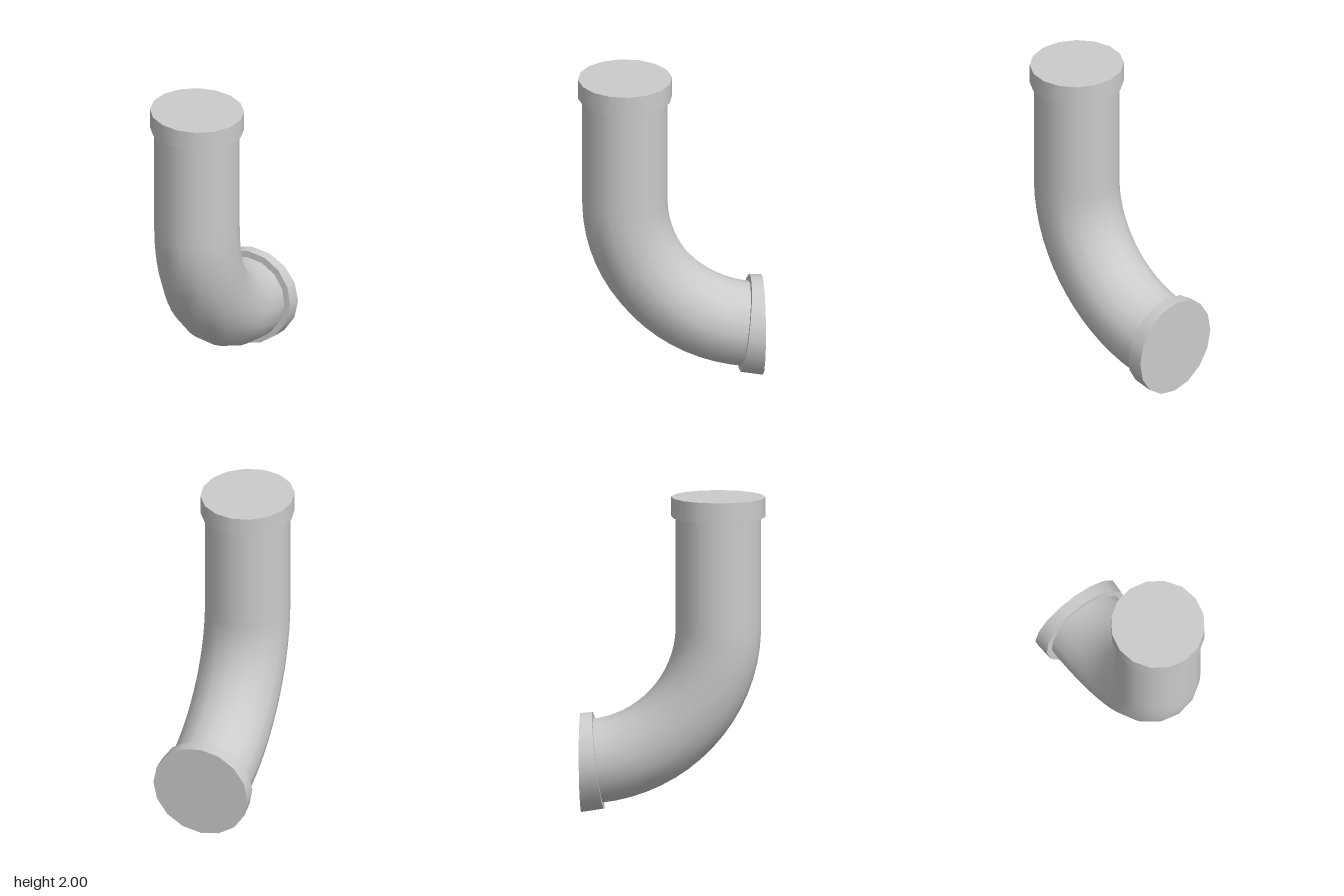
import * as THREE from 'three';

const SIDES = 16;
const material = new THREE.MeshStandardMaterial({ color: 0xcccccc });

// Capped ring along +y whose two end planes can each be tilted and shifted.
// An end is { r, y, tiltX, tiltZ, shiftZ }.
function collar(name, lower, upper) {
  const geometry = new THREE.CylinderGeometry(upper.r, lower.r, 1, SIDES);
  const p = geometry.attributes.position;
  for (let i = 0; i < p.count; i++) {
    const end = p.getY(i) > 0 ? upper : lower;
    const x = p.getX(i), z = p.getZ(i);
    p.setXYZ(i, x, end.y + end.tiltX * x + end.tiltZ * z, z + end.shiftZ);
  }
  const mesh = new THREE.Mesh(geometry, material);
  mesh.name = name;
  return mesh;
}

export function createModel() {
  const model = new THREE.Group();
  model.name = 'pipeElbow';

  // Pipe centreline: straight drop, then a bend of 82 degrees towards the back
  const bendRadius = 0.86, bendAngle = THREE.MathUtils.degToRad(82);
  const bendY = 1.18, bendZ = -0.577, startY = 1.93;
  const straight = startY - bendY;
  const total = straight + bendRadius * bendAngle + 0.03;
  class Centreline extends THREE.Curve {
    getPoint(t, target = new THREE.Vector3()) {
      const s = t * total;
      if (s < straight) return target.set(0, startY - s, bendZ + bendRadius);
      const a = (s - straight) / bendRadius;
      return target.set(0, bendY - bendRadius * Math.sin(a), bendZ + bendRadius * Math.cos(a));
    }
  }
  const pipe = new THREE.Mesh(
    new THREE.TubeGeometry(new Centreline(), 26, 0.265, SIDES), material);
  pipe.name = 'bentPipe';
  model.add(pipe);

  // Collar on the upper end, very slightly tilted sideways
  const top = collar('topCollar',
    { r: 0.292, y: 1.868, tiltX: -0.025, tiltZ: 0, shiftZ: 0 },
    { r: 0.292, y: 1.992, tiltX: -0.028, tiltZ: 0, shiftZ: 0 });
  top.position.z = 0.282;
  model.add(top);

  // Wedge-shaped collar on the rear end: thin above, thick below
  const rear = collar('rearCollar',
    { r: 0.303, y: 0.4625, tiltX: 0, tiltZ: 0.125, shiftZ: 0.33 },
    { r: 0.311, y: 0.57, tiltX: 0, tiltZ: 0.016, shiftZ: 0.315 });
  rear.rotation.x = -Math.PI / 2;
  model.add(rear);

  return model;
}
